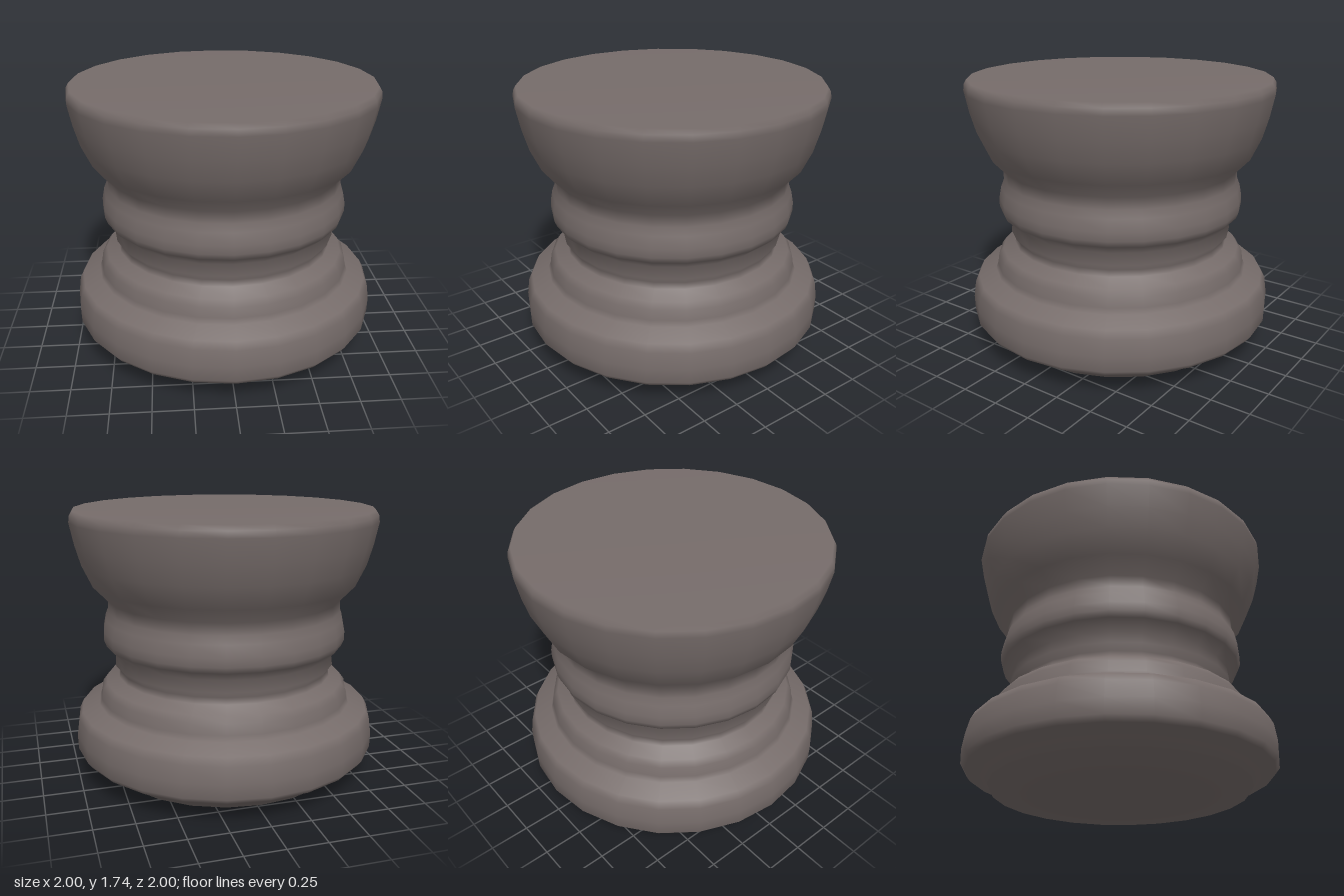
import * as THREE from 'three';

export function createModel() {
  const group = new THREE.Group();
  group.name = 'pedestal';

  const stone = new THREE.MeshStandardMaterial({ color: 0x766c6a });
  stone.name = 'warm grey stone';

  // Turned profile as [radius, height], from the underside to the top centre
  const profile = [
    // underside and foot
    [0, 0], [0.4, 0.005], [0.81, 0.04], [0.85, 0.11],
    // wide base ring
    [0.97, 0.15], [0.997, 0.185], [1, 0.28], [0.985, 0.385], [0.96, 0.435],
    // step
    [0.845, 0.475], [0.83, 0.51], [0.82, 0.575], [0.79, 0.615],
    // narrow neck
    [0.71, 0.655], [0.7, 0.695], [0.73, 0.735], [0.72, 0.81],
    // round collar
    [0.785, 0.87], [0.8, 0.91], [0.8, 0.965], [0.785, 1.04], [0.765, 1.09], [0.765, 1.165],
    // flared bowl
    [0.855, 1.26], [0.92, 1.4], [0.957, 1.53], [0.985, 1.67],
    // rim and flat top
    [0.98, 1.71], [0.962, 1.74], [0, 1.74],
  ].map(([r, y]) => new THREE.Vector2(r, y));

  const body = new THREE.Mesh(new THREE.LatheGeometry(profile, 24), stone);
  body.name = 'turnedBody';
  group.add(body);

  return group;
}
